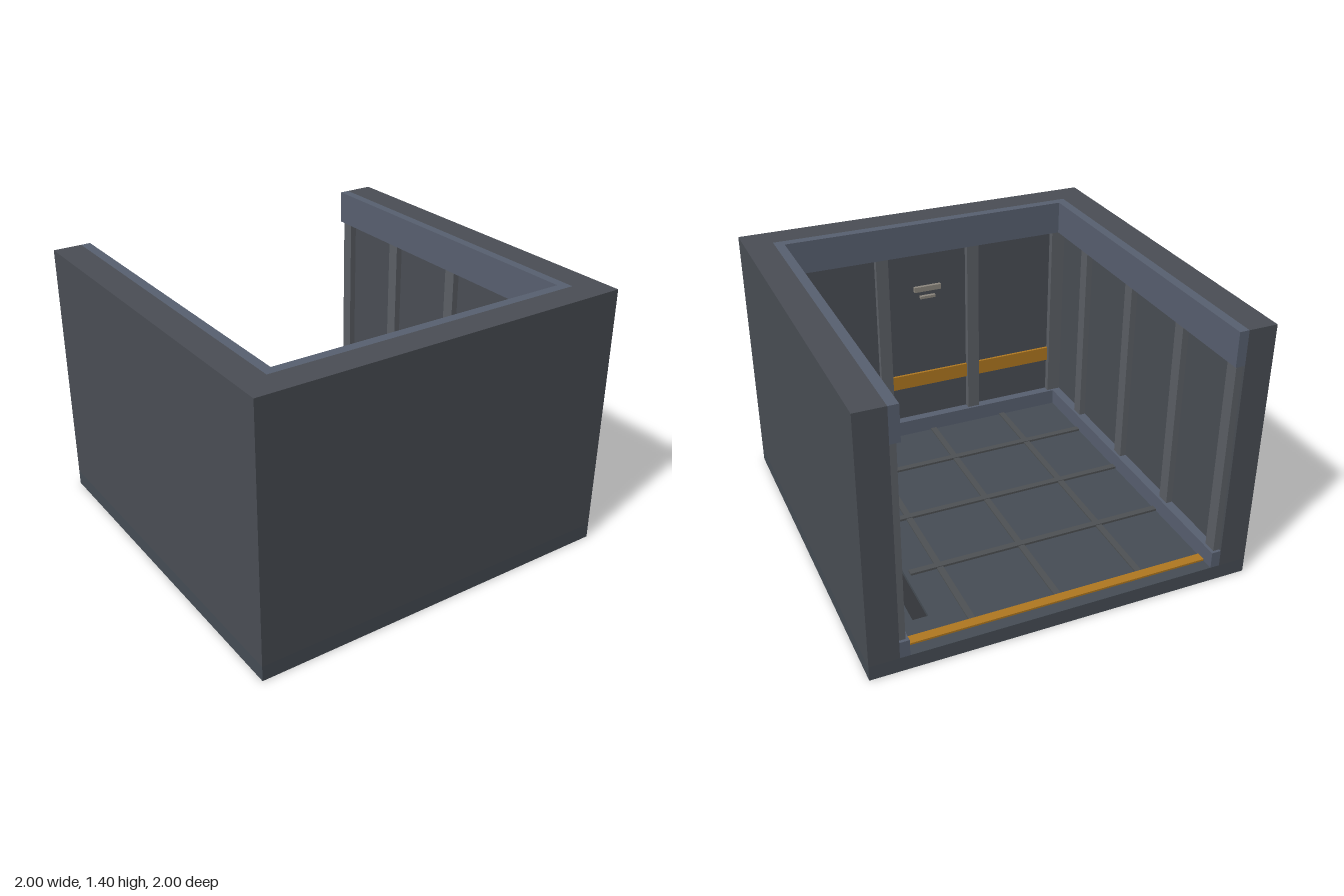
import * as THREE from 'three';

const FLOOR = 0.08, TOP = 1.4, INNER = 0.85, TRIM = 0.8;
const BASE_TOP = 0.17, HEADER_BOTTOM = 1.22;

const paint = (color) => new THREE.MeshStandardMaterial({ color });

export function createModel() {
  const model = new THREE.Group();
  const mats = {
    wall: paint(0x4a4e55),
    floor: paint(0x464d55),
    trim: paint(0x586070),
    rib: paint(0x5c6066),
    seam: paint(0x4e5154),
    dark: paint(0x333539),
    amber: paint(0xb07820),
    metal: paint(0x8c877e),
  };

  // Box given by its minimum and maximum corners
  function box(name, mat, [x0, y0, z0], [x1, y1, z1], parent = model) {
    const mesh = new THREE.Mesh(new THREE.BoxGeometry(x1 - x0, y1 - y0, z1 - z0), mats[mat]);
    mesh.position.set((x0 + x1) / 2, (y0 + y1) / 2, (z0 + z1) / 2);
    mesh.name = name;
    parent.add(mesh);
    return mesh;
  }

  // Floor slab with a long drain slot near the left wall
  const rect = (path, x0, z0, x1, z1) =>
    path.moveTo(x0, z0).lineTo(x1, z0).lineTo(x1, z1).lineTo(x0, z1).closePath();
  const slab = rect(new THREE.Shape(), -1, -1, 1, 1);
  slab.holes.push(rect(new THREE.Path(), 0.63, -0.78, 0.71, 0.78));
  const floor = new THREE.Mesh(
    new THREE.ExtrudeGeometry(slab, { depth: FLOOR, bevelEnabled: false }), mats.floor);
  floor.rotation.x = Math.PI / 2;
  floor.position.y = FLOOR;
  floor.name = 'floor';
  model.add(floor);
  box('drainChannel', 'dark', [0.63, 0.025, -0.78], [0.71, 0.06, 0.78]);

  // Raised floor seams in both directions
  for (const p of [-0.45, 0, 0.45]) {
    box('crossFloorSeam', 'seam', [-TRIM, FLOOR, p - 0.017], [0.605, FLOOR + 0.012, p + 0.017]);
    box('longFloorSeam', 'seam', [p - 0.017, FLOOR, -0.885], [p + 0.017, FLOOR + 0.008, TRIM]);
  }

  // Threshold stripe at the open back
  box('thresholdStripe', 'amber', [-TRIM, FLOOR, -0.937], [TRIM, FLOOR + 0.01, -0.887]);

  // Side walls with header, baseboard and ribs
  for (const side of [1, -1]) {
    const wall = new THREE.Group();
    wall.name = side > 0 ? 'leftWall' : 'rightWall';
    model.add(wall);
    const sideBox = (name, mat, xa, xb, y0, y1, z0, z1) =>
      box(name, mat, [Math.min(side * xa, side * xb), y0, z0],
        [Math.max(side * xa, side * xb), y1, z1], wall);
    sideBox('wallSlab', 'wall', INNER, 1, FLOOR, TOP, -1, 1);
    sideBox('header', 'trim', TRIM, INNER, HEADER_BOTTOM, TOP, -1, INNER);
    sideBox('baseboard', 'trim', TRIM, INNER, FLOOR, BASE_TOP, -1, INNER);
    for (const z of [-0.95, -0.5, 0, 0.5])
      sideBox('wallRib', 'rib', 0.815, INNER, BASE_TOP, HEADER_BOTTOM, z - 0.035, z + 0.035);
  }

  // Front wall with the same trim
  const front = new THREE.Group();
  front.name = 'frontWall';
  model.add(front);
  box('wallSlab', 'wall', [-INNER, FLOOR, INNER], [INNER, TOP, 1], front);
  box('header', 'trim', [-TRIM, HEADER_BOTTOM, TRIM], [TRIM, TOP, INNER], front);
  box('baseboard', 'trim', [-TRIM, FLOOR, TRIM], [TRIM, BASE_TOP, INNER], front);
  for (const x of [-0.27, 0.27])
    box('wallRib', 'rib', [x - 0.035, BASE_TOP, 0.815], [x + 0.035, HEADER_BOTTOM, INNER], front);
  for (const side of [-1, 1])
    box('cornerPost', 'rib', [side * 0.81 - 0.04, BASE_TOP, 0.815],
      [side * 0.81 + 0.04, HEADER_BOTTOM, INNER], front);
  box('wallStripe', 'amber', [-0.77, 0.375, 0.835], [0.77, 0.46, INNER], front);

  // Small plates at the middle of the front wall
  box('upperPlate', 'metal', [-0.08, 0.98, 0.83], [0.08, 1.01, INNER], front);
  box('lowerPlate', 'metal', [-0.045, 0.935, 0.83], [0.045, 0.95, INNER], front);

  return model;
}
